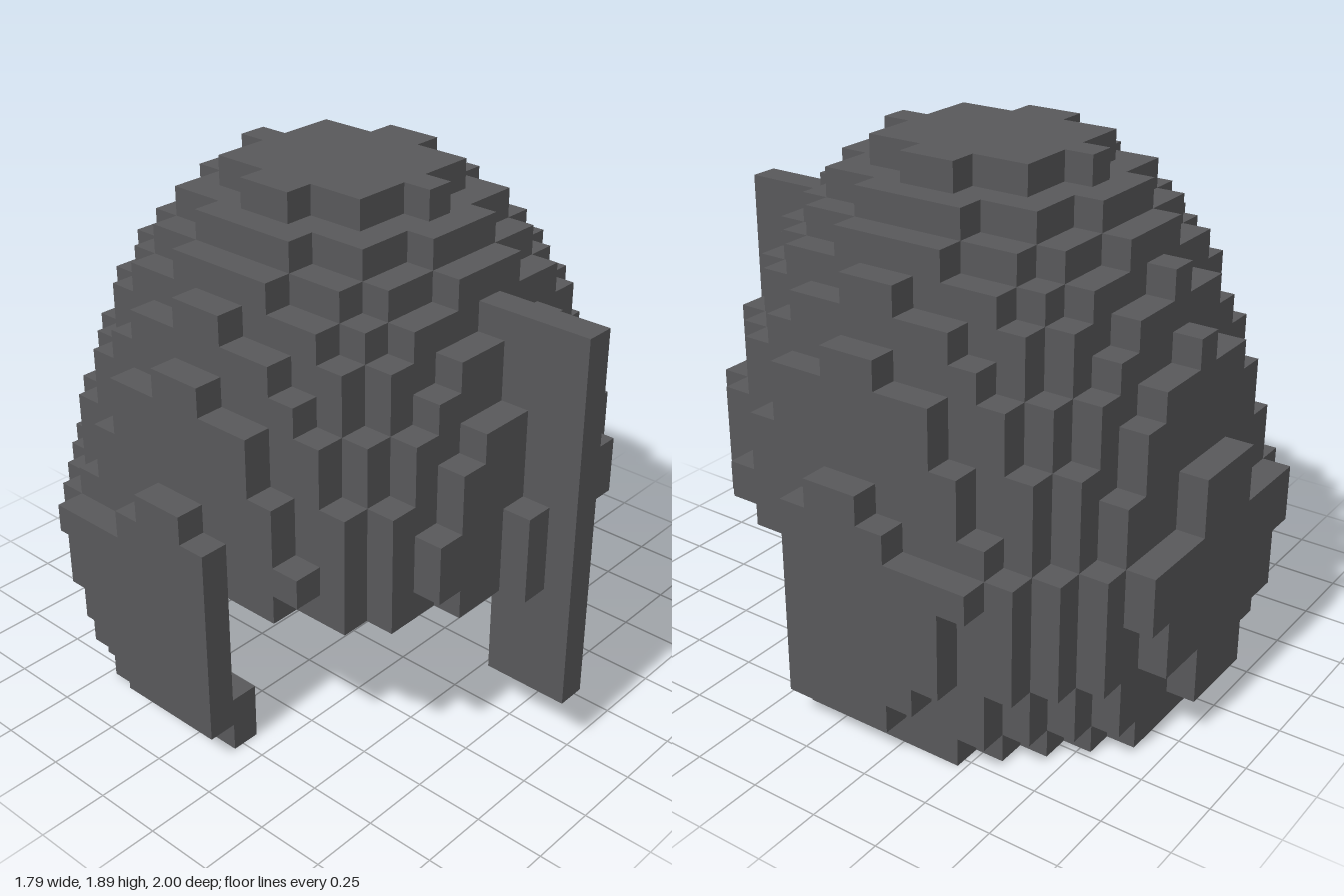
import * as THREE from 'three';

const U = 2 / 19; // block size

// Squared size of the elliptical outline for each layer, bottom to top
const LAYERS = [160, 181, 190, 205, 211, 216, 222, 179, 175.5, 169, 159, 147, 133, 117, 99, 79, 57, 29];
const BROW = 6;         // lowest layer above the face opening
const BROW_SIZE = 173;  // outline of that layer at the front
const OPENING_Z = 2;    // the face opening lies in front of this row

// Filled dome, wider in z than in x, flattened at the sides and back
function inDome(i, j, k) {
  if (j >= LAYERS.length || Math.abs(i) > 8 || k < -9) return false;
  if (k === -9 && j < 3 && Math.abs(i) > 1) return false; // narrow foot of the back plate
  const size = k >= OPENING_Z && j === BROW ? BROW_SIZE : LAYERS[Math.max(j, 0)];
  return 2.67 * i * i + 2.34 * (k + 0.5) ** 2 < size;
}

const SIDES = [
  [1, 0, 0], [-1, 0, 0], [0, 1, 0], [0, -1, 0], [0, 0, 1], [0, 0, -1],
];
// Neighbours across a side or an edge
const NEAR = [...SIDES];
for (const a of [-1, 1]) for (const b of [-1, 1]) NEAR.push([a, b, 0], [a, 0, b], [0, a, b]);

// Shell of the dome, one block thick and joined along the steps, with the face cut out
function inShell(i, j, k) {
  if (j < 0 || (k >= OPENING_Z && j < BROW) || !inDome(i, j, k)) return false;
  return NEAR.some(([x, y, z]) => !inDome(i + x, j + y, k + z));
}

const inNose = (i, j, k) => i === 0 && k >= 7 && k <= 9 && j >= 2 && j <= 14;
const filled = (i, j, k) => inNose(i, j, k) || inShell(i, j, k);

// Exposed faces of all blocks accepted by the test
function blockGeometry(test) {
  const position = [], normal = [], index = [];
  for (let i = -8; i <= 8; i++) for (let j = 0; j < 18; j++) for (let k = -9; k <= 9; k++) {
    if (!test(i, j, k)) continue;
    for (const n of SIDES) {
      if (filled(i + n[0], j + n[1], k + n[2])) continue;
      const N = new THREE.Vector3(...n);
      const A = new THREE.Vector3(n[1], n[2], n[0]);
      const B = new THREE.Vector3().crossVectors(N, A);
      const start = position.length / 3;
      for (const [a, b] of [[-1, -1], [1, -1], [1, 1], [-1, 1]]) {
        const p = new THREE.Vector3(i, j + 0.5, k)
          .addScaledVector(N, 0.5).addScaledVector(A, a / 2).addScaledVector(B, b / 2)
          .multiplyScalar(U);
        position.push(p.x, p.y, p.z);
        normal.push(...n);
      }
      index.push(start, start + 1, start + 2, start, start + 2, start + 3);
    }
  }
  const g = new THREE.BufferGeometry();
  g.setAttribute('position', new THREE.Float32BufferAttribute(position, 3));
  g.setAttribute('normal', new THREE.Float32BufferAttribute(normal, 3));
  g.setIndex(index);
  return g;
}

export function createModel() {
  const helmet = new THREE.Group();
  helmet.name = 'helmet';
  const darkSteel = new THREE.MeshStandardMaterial({ color: 0x58585a });
  darkSteel.name = 'dark steel';

  const add = (name, test) => {
    const mesh = new THREE.Mesh(blockGeometry(test), darkSteel);
    mesh.name = name;
    helmet.add(mesh);
  };
  const shell = (i, j, k) => inShell(i, j, k) && !inNose(i, j, k);

  // Stepped crown with the brow
  add('crown', (i, j, k) => j >= BROW && shell(i, j, k));
  // Back of the neck, and a cheek guard on each side
  add('neckGuard', (i, j, k) => j < BROW && k < -4 && shell(i, j, k));
  add('leftCheekGuard', (i, j, k) => j < BROW && k >= -4 && i > 0 && shell(i, j, k));
  add('rightCheekGuard', (i, j, k) => j < BROW && k >= -4 && i < 0 && shell(i, j, k));
  // Upright plate down the middle of the face
  add('noseGuard', inNose);
  return helmet;
}
